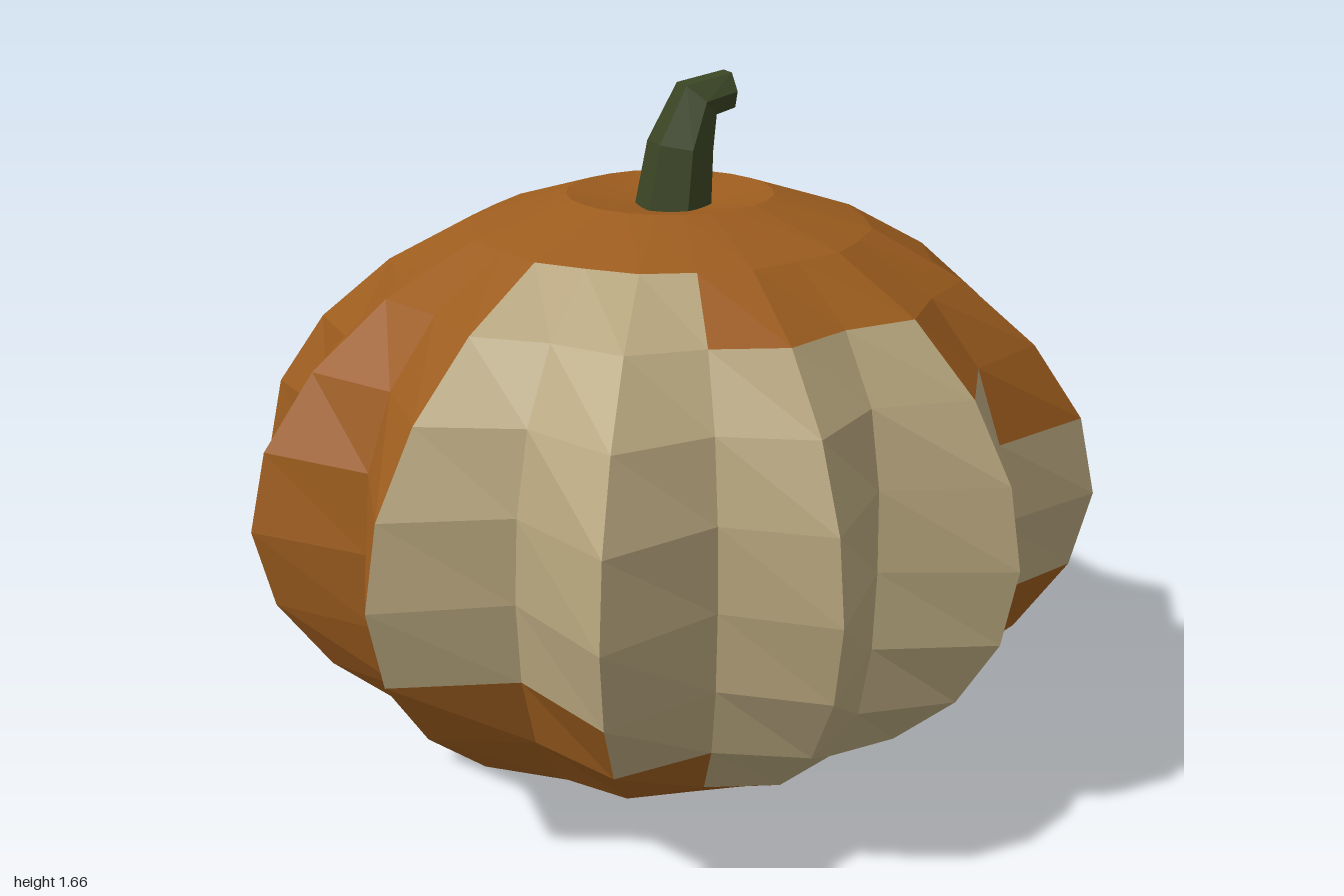
import * as THREE from 'three';

const SEGMENTS = 24;
const ROWS = 12;
const CENTRE_Z = 0.04;

// widest radius at each 15 degree step from +x towards +z (ridge, valley, ridge, ...)
const GIRTH = [
  0.99, 0.82, 1.0, 0.81, 0.935, 0.725, 0.91, 0.78, 0.97, 0.80, 0.99, 0.82,
  1.0, 0.82, 1.005, 0.815, 1.01, 0.82, 1.01, 0.82, 1.01, 0.775, 0.92, 0.77,
];

// pale skin: segment -> first and last row of the patch
const PALE = {
  2: [5, 6], 3: [4, 8], 4: [3, 8], 5: [3, 8], 6: [3, 8], 7: [2, 7], 8: [2, 6], 9: [2, 6],
  20: [3, 6], 21: [2, 7], 22: [2, 8], 23: [3, 7],
};

// joins rings listed from top to bottom; keep(row, segment) picks the faces
function loft(rings, keep = () => true) {
  const n = rings[0].length;
  const index = [];
  for (let i = 0; i < rings.length - 1; i++) {
    for (let j = 0; j < n; j++) {
      if (!keep(i, j)) continue;
      const a = i * n + j, b = i * n + (j + 1) % n;
      const c = a + n, d = b + n;
      if (!rings[i][0].equals(rings[i][1])) index.push(c, a, b);
      if (!rings[i + 1][0].equals(rings[i + 1][1])) index.push(c, b, d);
    }
  }
  const geometry = new THREE.BufferGeometry().setFromPoints(rings.flat());
  geometry.setIndex(index);
  const flat = geometry.toNonIndexed();
  flat.computeVertexNormals();
  return flat;
}

function part(name, geometry, color) {
  const material = new THREE.MeshStandardMaterial({ color, flatShading: true });
  const mesh = new THREE.Mesh(geometry, material);
  mesh.name = name;
  return mesh;
}

// squashed sphere whose ribs fade out towards both poles
function bodyRings() {
  const rings = [];
  for (let i = 0; i <= ROWS; i++) {
    const theta = (i / ROWS) * Math.PI;
    const s = i % ROWS === 0 ? 0 : Math.sin(theta);
    const y = i === 0 ? 1.35 : 0.71 + 0.71 * Math.cos(theta); // top pole sinks into a hollow
    rings.push(GIRTH.map((girth, j) => {
      const r = 0.916 * s + (girth - 0.916) * s ** 4;
      const angle = (j / SEGMENTS) * Math.PI * 2;
      return new THREE.Vector3(r * Math.cos(angle), y, CENTRE_Z + r * Math.sin(angle));
    }));
  }
  return rings;
}

// six-sided ring of the stem, tilted towards +x
function stemRing(x, y, radius, tilt) {
  return Array.from({ length: 6 }, (_, k) => {
    const angle = Math.PI / 6 + (k * Math.PI) / 3;
    const u = radius * Math.cos(angle);
    return new THREE.Vector3(
      x + u * Math.cos(tilt), y - u * Math.sin(tilt), CENTRE_Z + radius * Math.sin(angle));
  });
}

export function createModel() {
  const group = new THREE.Group();
  group.name = 'pumpkin';

  const rings = bodyRings();
  const isPale = (i, j) => j in PALE && i >= PALE[j][0] && i <= PALE[j][1];
  group.add(part('orangeSkin', loft(rings, (i, j) => !isPale(i, j)), 0x9c5c1e));
  group.add(part('paleSkin', loft(rings, isPale), 0xb5a47c));

  // bent stem with a closed tip
  const stem = loft([
    stemRing(0.145, 1.62, 0, 1.5),
    stemRing(0.145, 1.62, 0.046, 1.45),
    stemRing(0.065, 1.603, 0.058, 0.75),
    stemRing(0.025, 1.5, 0.076, 0.15),
    stemRing(0.005, 1.34, 0.09, 0),
  ]);
  group.add(part('stem', stem, 0x3a4524));

  return group;
}
